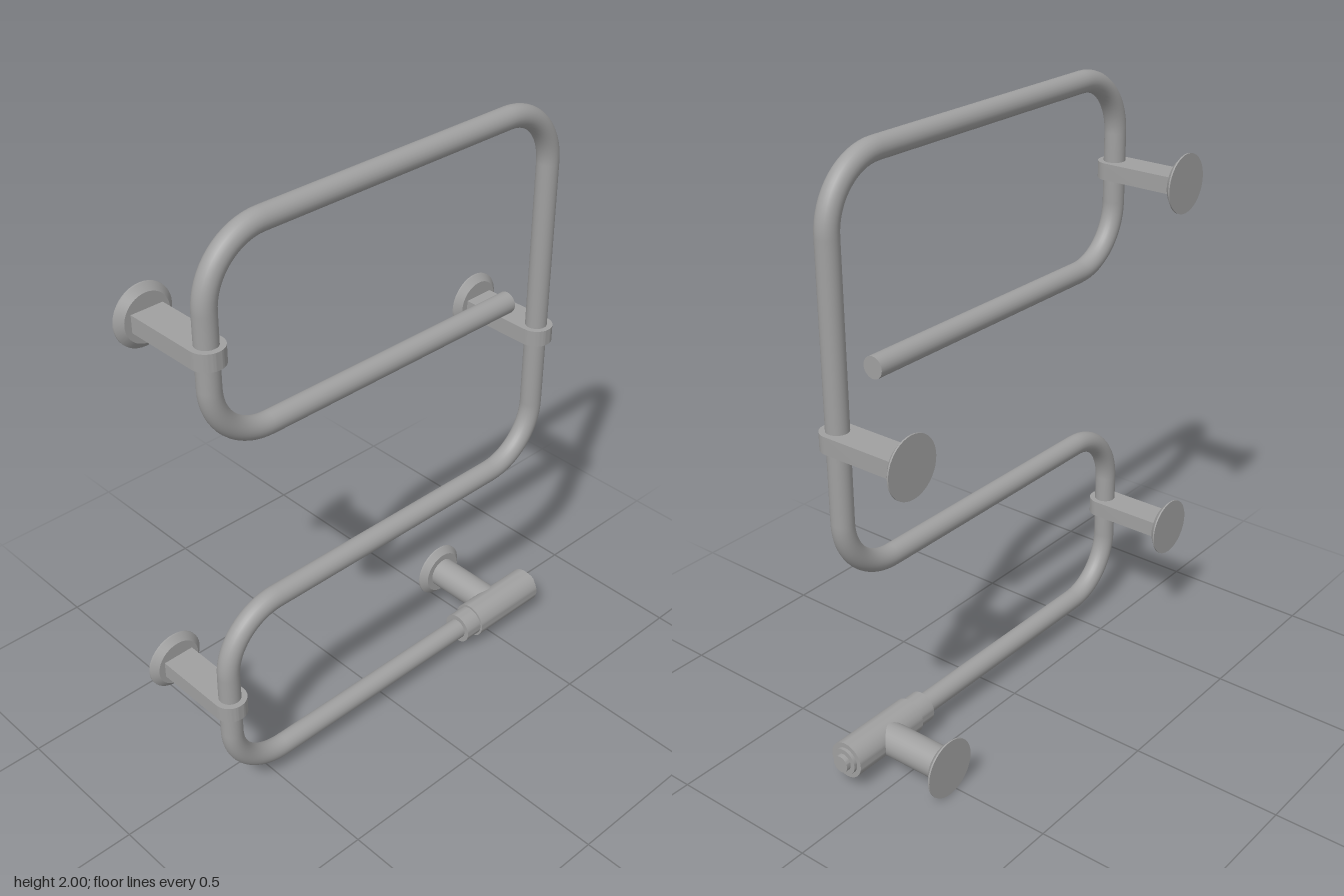
import * as THREE from 'three';
import { toCreasedNormals } from 'three/addons/utils/BufferGeometryUtils.js';

const metal = new THREE.MeshStandardMaterial({ color: 0xa0a0a0 });
metal.name = 'brushed grey metal';

const TUBE = 0.035, BEND = 0.195, Z = 0.108;      // tube radius, bend radius, tube plane
const LEFT = -0.66, RIGHT = 0.655;                // upright centre lines
const ROWS = [0.1, 0.72, 1.345, 1.965];           // heights of the horizontal runs
const WALL = -0.168;

export function createModel() {
  const model = new THREE.Group();
  model.name = 'towelRail';

  const add = (name, geometry, x, y, z, parent = model) => {
    const mesh = new THREE.Mesh(geometry, metal);
    mesh.name = name;
    mesh.position.set(x, y, z);
    parent.add(mesh);
    return mesh;
  };
  const lathe = (profile) => toCreasedNormals(
    new THREE.LatheGeometry(profile.map(([r, h]) => new THREE.Vector2(r, h)), 40), 0.4);

  // Bent tube: straight runs joined by quarter-circle bends
  const rail = new THREE.Group();
  rail.name = 'bentRail';
  model.add(rail);

  const straight = (name, x0, y0, x1, y1, open = true) => {
    const length = Math.hypot(x1 - x0, y1 - y0);
    const mesh = add(name, new THREE.CylinderGeometry(TUBE, TUBE, length, 24, 1, open),
      (x0 + x1) / 2, (y0 + y1) / 2, Z, rail);
    mesh.rotation.z = Math.atan2(y1 - y0, x1 - x0) - Math.PI / 2;
  };
  const bend = (x, y, quarter) => {
    const mesh = add('bend', new THREE.TorusGeometry(BEND, TUBE, 24, 16, Math.PI / 2), x, y, Z, rail);
    mesh.rotation.z = quarter * Math.PI / 2;
  };

  const [a, b, c, d] = ROWS;
  const l = LEFT + BEND, r = RIGHT - BEND;
  straight('bottomRun', l, a, 0.36, a);
  straight('lowerRun', l, b, r, b);
  straight('topRun', l, d, r, d);
  straight('freeEndRun', l, c, 0.505, c, false);
  straight('lowerLeftUpright', LEFT, a + BEND, LEFT, b - BEND);
  straight('upperLeftUpright', LEFT, c + BEND, LEFT, d - BEND);
  straight('rightUpright', RIGHT, b + BEND, RIGHT, d - BEND);
  for (const y of [b, d]) bend(l, y - BEND, 1);
  for (const y of [a, c]) bend(l, y + BEND, 2);
  bend(r, b + BEND, 3);
  bend(r, d - BEND, 0);

  // Wall flange with a bevelled rim
  const flange = lathe([[0, WALL], [0.097, WALL], [0.097, WALL + 0.005],
    [0.076, WALL + 0.024], [0, WALL + 0.024]]).rotateX(Math.PI / 2);

  // Flat bracket arm, rounded around the tube
  const w = 0.053, armHeight = 0.055;
  const outline = new THREE.Shape();
  outline.moveTo(-w, WALL + 0.01);
  outline.lineTo(w, WALL + 0.01);
  outline.lineTo(w, Z);
  outline.absarc(0, Z, w, 0, Math.PI, false);
  outline.closePath();
  const arm = toCreasedNormals(new THREE.ExtrudeGeometry(outline,
    { depth: armHeight, bevelEnabled: false, curveSegments: 20 }), 0.5)
    .rotateX(Math.PI / 2).translate(0, armHeight / 2, 0);

  for (const [x, y] of [[LEFT, 1.648], [RIGHT, 1.18], [LEFT, 0.41]]) {
    const bracket = new THREE.Group();
    bracket.name = 'wallBracket';
    bracket.position.set(x, y, 0);
    model.add(bracket);
    add('bracketArm', arm, 0, 0, 0, bracket);
    add('bracketFlange', flange, 0, 0, 0, bracket);
  }

  // Connector at the bottom end: stepped body, stem to the wall and flange
  const connector = new THREE.Group();
  connector.name = 'connector';
  connector.position.set(0, a, 0);
  model.add(connector);
  add('connectorBody', lathe([[0, 0.345], [0.052, 0.345], [0.052, 0.408], [0.06, 0.408],
    [0.06, 0.695], [0.044, 0.695], [0.044, 0.706], [0.028, 0.706], [0.028, 0.722], [0, 0.722]])
    .rotateZ(-Math.PI / 2), 0, 0, Z, connector);
  add('connectorStem', new THREE.CylinderGeometry(0.053, 0.053, Z - WALL - 0.01, 32)
    .rotateX(Math.PI / 2), 0.53, 0, (Z + WALL + 0.01) / 2, connector);
  add('connectorFlange', flange, 0.53, 0, 0, connector);

  return model;
}
